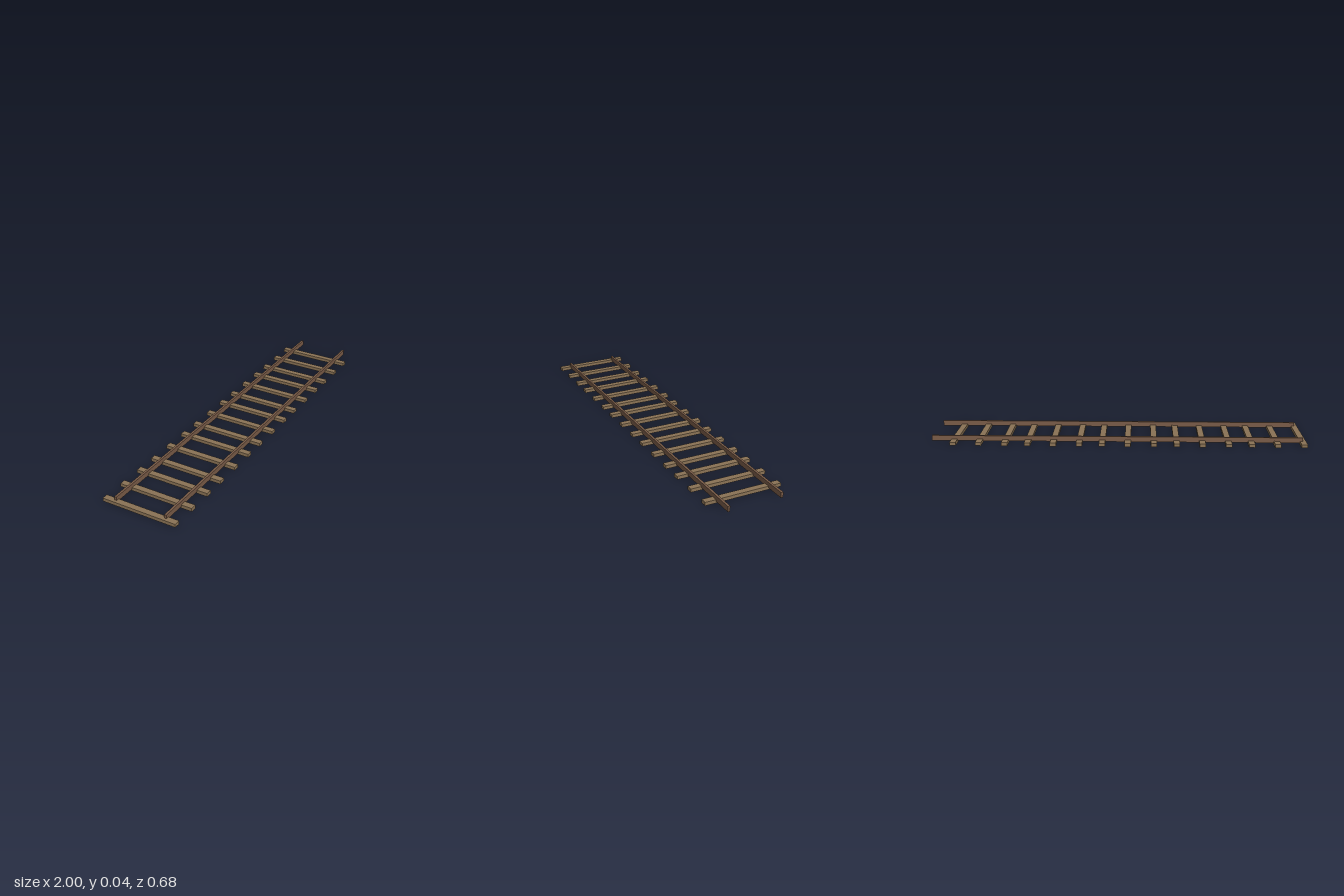
import * as THREE from 'three';

const SECTION = 0.3905;            // length of one track section
const SECTIONS = 5;
const TIE_OFFSETS = [0, 0.1365, 0.271];
const RAIL_OFFSET = 0.14;          // rail distance from the centre line

export function createModel() {
  const model = new THREE.Group();
  model.name = 'railTrack';

  const tieMaterial = new THREE.MeshStandardMaterial({ color: 0x8b7355 });
  const railMaterial = new THREE.MeshStandardMaterial({ color: 0x7a5c48 });
  const tieGeometry = new THREE.BoxGeometry(0.032, 0.018, 0.406);
  const railGeometry = new THREE.BoxGeometry(SECTION, 0.028, 0.012);

  // the track runs diagonally, starting at its first tie
  const track = new THREE.Group();
  track.name = 'track';
  track.position.set(-0.954, 0, 0.137);
  track.rotation.y = THREE.MathUtils.degToRad(8.6);
  model.add(track);

  const addPart = (parent, name, geometry, material, x, y, z) => {
    const mesh = new THREE.Mesh(geometry, material);
    mesh.name = name;
    mesh.position.set(x, y, z);
    parent.add(mesh);
  };

  for (let i = 0; i < SECTIONS; i++) {
    const section = new THREE.Group();
    section.name = `trackSection${i + 1}`;
    section.position.x = i * SECTION;
    track.add(section);

    // wooden cross ties
    TIE_OFFSETS.forEach((x, j) =>
      addPart(section, `tie${j + 1}`, tieGeometry, tieMaterial, x, 0.009, 0));

    // rails, sunk halfway into the ties
    addPart(section, 'frontRail', railGeometry, railMaterial, SECTION / 2, 0.023, RAIL_OFFSET);
    addPart(section, 'backRail', railGeometry, railMaterial, SECTION / 2, 0.023, -RAIL_OFFSET);
  }
  return model;
}
